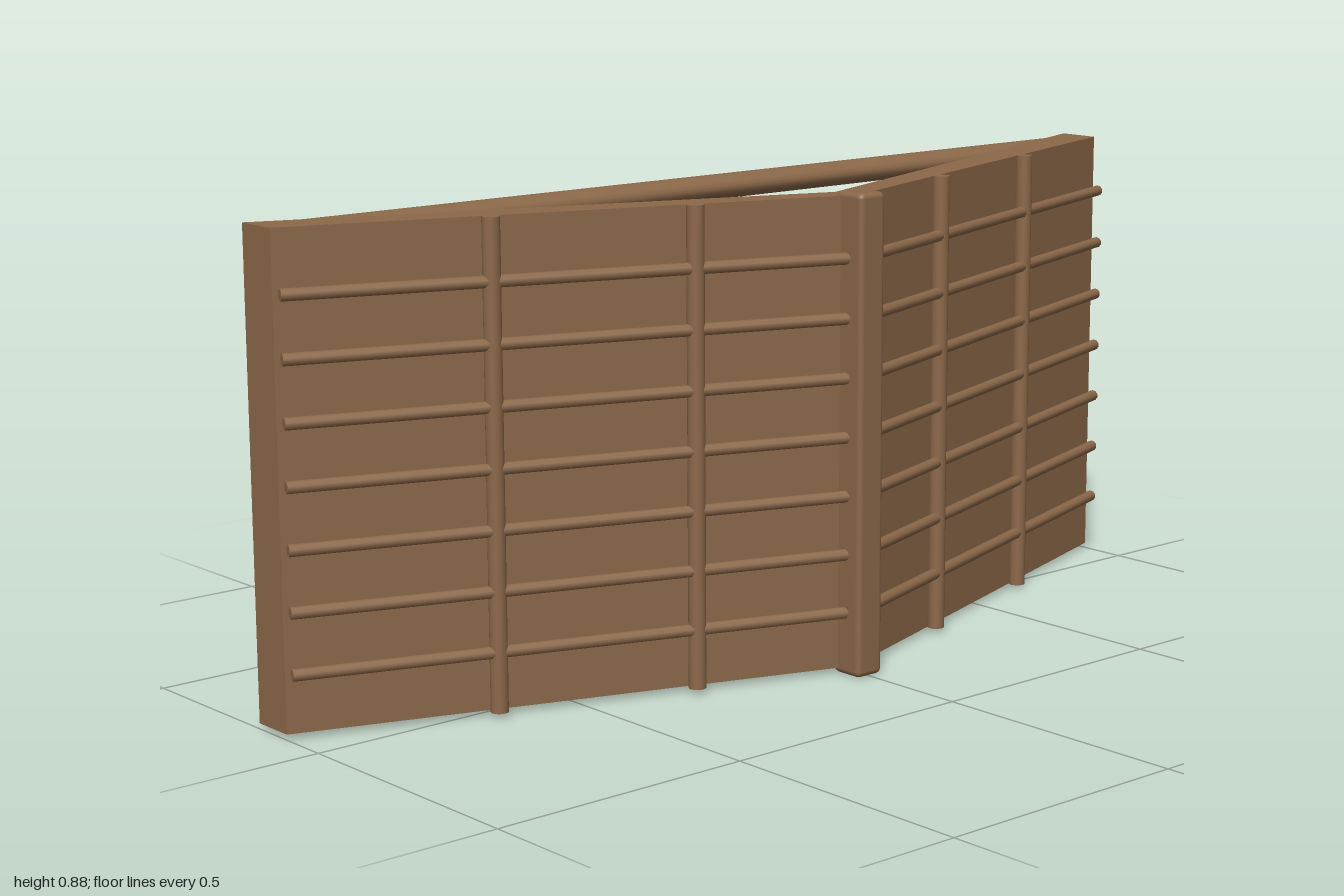
import * as THREE from 'three';
import { RoundedBoxGeometry } from 'three/addons/geometries/RoundedBoxGeometry.js';

export function createModel() {
  const model = new THREE.Group();
  model.name = 'wedgeBarricade';
  const brown = new THREE.MeshStandardMaterial({ color: 0x8b6849 });
  brown.name = 'brown';

  const add = (name, geometry, x = 0, y = 0, z = 0) => {
    const mesh = new THREE.Mesh(geometry, brown);
    mesh.name = name;
    mesh.position.set(x, y, z);
    model.add(mesh);
    return mesh;
  };
  // Round bar running between two points
  const bar = (name, a, b, radius, sides) => {
    const from = new THREE.Vector3(...a), to = new THREE.Vector3(...b);
    const dir = to.clone().sub(from);
    const mesh = add(name, new THREE.CylinderGeometry(radius, radius, dir.length(), sides));
    mesh.position.copy(from).add(to).multiplyScalar(0.5);
    mesh.quaternion.setFromUnitVectors(new THREE.Vector3(0, 1, 0), dir.normalize());
  };
  // Depth of the outer panel face at a distance from the middle
  const apex = 0.247, slope = 0.342;
  const faceZ = (x) => apex - slope * x;
  const bottom = 0.01, top = 0.877;

  for (const [side, s] of [['left', 1], ['right', -1]]) {
    // Swept-back panel, drawn in plan and raised
    const plan = new THREE.Shape([
      [0, apex], [s, faceZ(1)], [s, -0.18], [0, 0.19],
    ].map(([x, z]) => new THREE.Vector2(x, -z)));
    const panel = new THREE.ExtrudeGeometry(plan, { depth: top - bottom, bevelEnabled: false });
    panel.rotateX(-Math.PI / 2);
    add(side + 'Panel', panel, 0, bottom, 0);

    // Upright ribs
    for (const x of [0.3, 0.65]) {
      const z = faceZ(x) + 0.013;
      bar(side + 'Rib', [s * x, bottom - 0.001, z], [s * x, top + 0.001, z], 0.016, 16);
    }
    // Horizontal rods
    for (let i = 0; i < 7; i++) {
      const y = 0.117 + i * 0.1083;
      bar(side + 'Rod', [0, y, apex + 0.015], [s * 0.996, y, faceZ(0.996) + 0.015], 0.011, 10);
    }
  }

  // Post covering the front corner
  add('frontPost', new RoundedBoxGeometry(0.06, 0.885, 0.068, 2, 0.01), 0, 0.4425, 0.256);

  // Flattened cross beams tying the panels together
  const beam = (name, length, ry, rz, y, z) => {
    const geometry = new THREE.CylinderGeometry(1, 1, length, 24);
    geometry.rotateZ(Math.PI / 2).scale(1, ry, rz);
    add(name, geometry, 0, y, z);
  };
  beam('topBeam', 1.98, 0.023, 0.036, 0.853, -0.147);
  beam('bottomBeam', 1.51, 0.033, 0.009, 0.068, -0.083);

  // Rear mounting blocks with two small pins each
  for (const x of [-0.578, 0, 0.578]) {
    add('mountBlock', new RoundedBoxGeometry(0.076, 0.094, 0.13, 2, 0.009), x, 0.427, -0.22);
    for (const s of [-1, 1]) {
      const pin = new THREE.CylinderGeometry(0.008, 0.008, 0.012, 10);
      pin.rotateX(Math.PI / 2);
      add('mountPin', pin, x + s * 0.022, 0.427, -0.283);
    }
  }
  return model;
}
